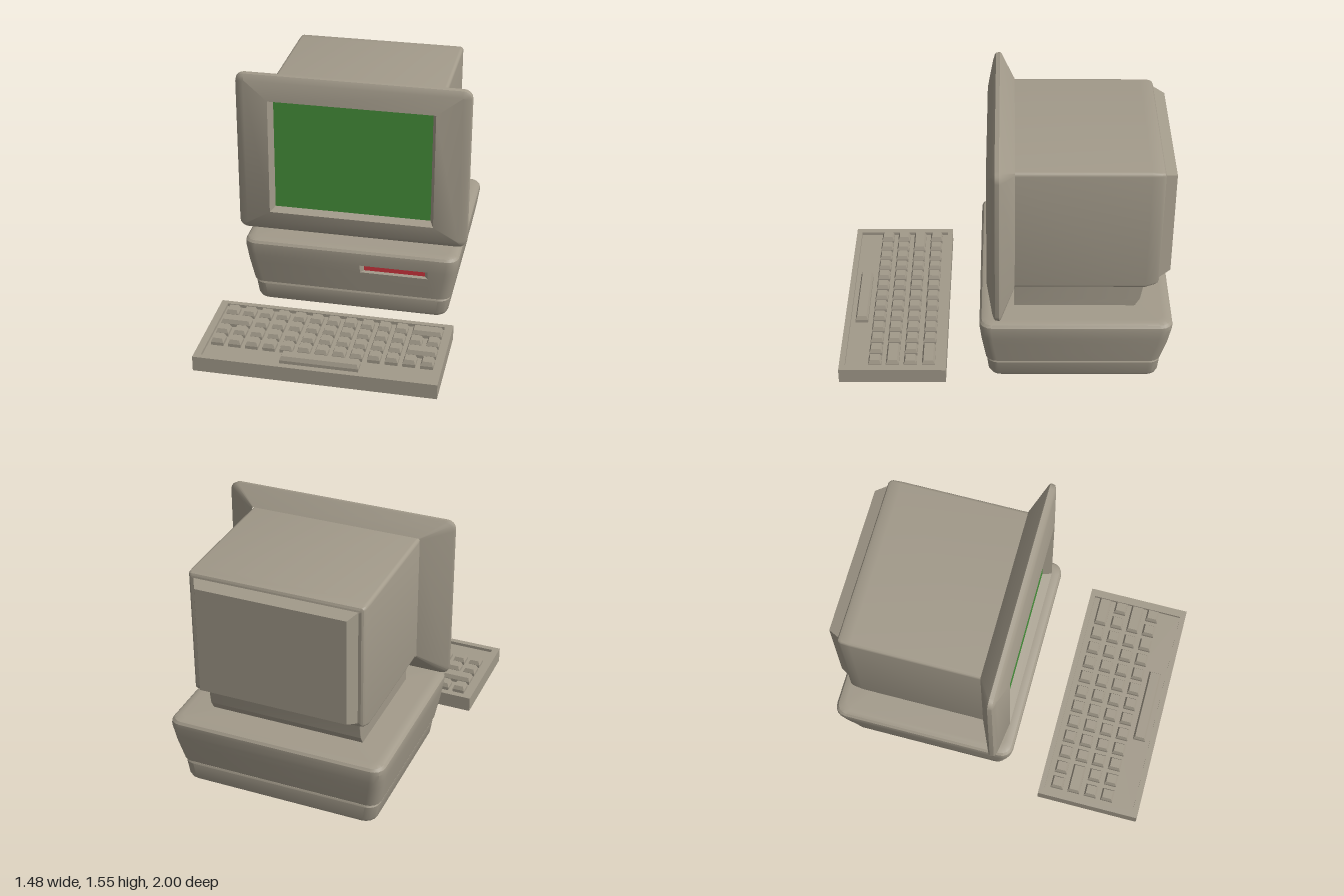
import * as THREE from 'three';
import { toCreasedNormals } from 'three/addons/utils/BufferGeometryUtils.js';

const plastic = new THREE.MeshStandardMaterial({ color: 0xa29a8a });
plastic.name = 'beige plastic';
const green = new THREE.MeshStandardMaterial({ color: 0x46903a });
green.name = 'screen green';
const red = new THREE.MeshStandardMaterial({ color: 0xcf343d });
red.name = 'drive red';

// Rounded rectangle, counter-clockwise, with optional extra points on its first edge
function outline([w, u0, u1, v0, v1, r], splits) {
  const steps = 4, pts = [];
  const corners = [[u0 + r, v0 + r], [u1 - r, v0 + r], [u1 - r, v1 - r], [u0 + r, v1 - r]];
  corners.forEach(([cu, cv], c) => {
    for (let i = 0; i <= steps; i++) {
      const a = Math.PI + (c + i / steps) * Math.PI / 2;
      pts.push(new THREE.Vector3(cu + r * Math.cos(a), cv + r * Math.sin(a), w));
    }
    if (c === 0) splits.forEach(u => pts.push(new THREE.Vector3(u, v0, w)));
  });
  return pts;
}

// Skin through rounded rectangles stacked along z; hole = section whose split panel is left open
function loft(sections, { capStart = true, capEnd = true, splits = [], hole = -1 } = {}) {
  const rings = sections.map(s => outline(s, splits));
  const n = rings[0].length, pos = [];
  const tri = (a, b, c) => {
    const area = b.clone().sub(a).cross(c.clone().sub(a)).length();
    if (area > 1e-9) for (const p of [a, b, c]) pos.push(p.x, p.y, p.z);
  };
  for (let k = 0; k < rings.length - 1; k++) {
    for (let i = 0; i < n; i++) {
      if (k === hole && i === 5) continue;
      const j = (i + 1) % n;
      const a = rings[k][i], b = rings[k][j], c = rings[k + 1][j], d = rings[k + 1][i];
      tri(a, b, c);
      tri(a, c, d);
    }
  }
  const cap = (ring, flip) => {
    const box = new THREE.Box3().setFromPoints(ring), m = box.getCenter(new THREE.Vector3());
    ring.forEach((p, i) => {
      const q = ring[(i + 1) % n];
      flip ? tri(m, q, p) : tri(m, p, q);
    });
  };
  if (capStart) cap(rings[0], true);
  if (capEnd) cap(rings[n ? rings.length - 1 : 0], false);
  const g = new THREE.BufferGeometry();
  g.setAttribute('position', new THREE.Float32BufferAttribute(pos, 3));
  return g;
}

// Sections given as [y, x0, x1, zFront, zBack, radius], stacked upwards
function loftUp(sections, options) {
  const g = loft(sections.map(([y, x0, x1, zf, zb, r]) => [y, x0, x1, -zf, -zb, r]), options);
  return g.rotateX(-Math.PI / 2);
}

export function createModel() {
  const model = new THREE.Group();
  model.name = 'desktopComputer';
  const add = (parent, name, geometry, material = plastic, crease = 0.5) => {
    const mesh = new THREE.Mesh(toCreasedNormals(geometry, crease), material);
    mesh.name = name;
    parent.add(mesh);
    return mesh;
  };

  // System unit: lower foot, groove, flared upper case with an opening for the drive
  const base = new THREE.Group();
  base.name = 'systemUnit';
  model.add(base);
  add(base, 'baseFoot', loftUp([
    [0, -0.43, 0.47, -0.09, -0.76, 0.04],
    [0.018, -0.55, 0.59, 0.07, -0.91, 0.06],
    [0.03, -0.58, 0.62, 0.09, -0.93, 0.07],
    [0.05, -0.59, 0.63, 0.098, -0.935, 0.07],
    [0.14, -0.602, 0.642, 0.107, -0.942, 0.07],
    [0.152, -0.597, 0.637, 0.102, -0.937, 0.07],
  ]));
  add(base, 'baseGroove', loftUp([
    [0.145, -0.59, 0.63, 0.095, -0.93, 0.07],
    [0.17, -0.59, 0.63, 0.095, -0.93, 0.07],
  ]));
  add(base, 'baseCase', loftUp([
    [0.16, -0.61, 0.65, 0.115, -0.945, 0.07],
    [0.31, -0.638, 0.678, 0.1375, -0.98, 0.07],
    [0.36, -0.645, 0.685, 0.1425, -0.988, 0.07],
    [0.42, -0.654, 0.694, 0.149, -0.998, 0.07],
    [0.445, -0.652, 0.692, 0.147, -0.996, 0.07],
    [0.46, -0.64, 0.68, 0.136, -0.985, 0.065],
    [0.468, -0.62, 0.66, 0.117, -0.965, 0.055],
    [0.47, -0.595, 0.635, 0.09, -0.94, 0.04],
  ], { splits: [0.085, 0.51], hole: 1 }));

  // Drive slot: recess walls following the sloping front, with a red back
  const slot = loft([
    [0.14, 0.085, 0.51, 0.31, 0.36, 0],
    [0.11, 0.107, 0.49, 0.312, 0.358, 0],
  ], { capStart: false, capEnd: false });
  const sp = slot.attributes.position;
  for (let i = 0; i < sp.count; i++) {
    if (sp.getZ(i) > 0.13) sp.setZ(i, 0.14 + (sp.getY(i) - 0.335) * 0.1);
  }
  add(base, 'driveSlot', slot);
  add(base, 'driveFace', new THREE.PlaneGeometry(0.383, 0.046).translate(0.2985, 0.335, 0.11), red);

  // Monitor: neck, tube housing, rear panel, flared bezel, screen
  const monitor = new THREE.Group();
  monitor.name = 'monitor';
  model.add(monitor);
  add(monitor, 'monitorNeck', loftUp([
    [0.46, -0.455, 0.5, -0.06, -0.775, 0.005],
    [0.52, -0.455, 0.5, -0.06, -0.81, 0.005],
    [0.66, -0.455, 0.5, -0.06, -0.833, 0.005],
  ]), plastic, 0.3);
  add(monitor, 'monitorHousing', loft([
    [-0.91, -0.492, 0.532, 0.685, 1.428, 0.01],
    [-0.903, -0.503, 0.543, 0.672, 1.44, 0.015],
    [-0.885, -0.512, 0.552, 0.662, 1.447, 0.02],
    [-0.83, -0.515, 0.555, 0.642, 1.45, 0.022],
    [-0.05, -0.515, 0.555, 0.642, 1.45, 0.022],
  ]));
  add(monitor, 'rearPanel', loft([
    [-0.98, -0.435, 0.475, 0.72, 1.39, 0],
    [-0.9, -0.48, 0.52, 0.69, 1.42, 0],
  ]));
  add(monitor, 'screenBezel', loft([
    [-0.06, -0.515, 0.555, 0.642, 1.45, 0.01],
    [0.02, -0.69, 0.725, 0.518, 1.543, 0.05],
    [0.03, -0.7, 0.735, 0.51, 1.552, 0.055],
    [0.055, -0.695, 0.73, 0.514, 1.547, 0.05],
    [0.063, -0.68, 0.715, 0.525, 1.535, 0.035],
    [0.072, -0.645, 0.68, 0.549, 1.51, 0.005],
    [0.105, -0.49, 0.53, 0.655, 1.4, 0],
    [0.05, -0.466, 0.506, 0.673, 1.385, 0],
  ], { capStart: false, capEnd: false }), plastic, 0.4);
  add(monitor, 'screen', new THREE.PlaneGeometry(0.972, 0.712).translate(0.02, 1.029, 0.05), green);

  // Keyboard: slab with a sunken tray
  const keyboard = new THREE.Group();
  keyboard.name = 'keyboard';
  model.add(keyboard);
  add(keyboard, 'keyboardCase', loftUp([
    [0.04, -0.743, 0.708, 1, 0.353, 0],
    [0.135, -0.743, 0.708, 1, 0.353, 0],
    [0.135, -0.7, 0.66, 0.965, 0.385, 0],
    [0.115, -0.7, 0.66, 0.965, 0.385, 0],
  ]));

  // Tapered key caps
  const key = (x0, x1, z) => add(keyboard, 'key', loftUp([
    [0.115, x0, x1, z + 0.039, z - 0.039, 0],
    [0.135, x0, x1, z + 0.039, z - 0.039, 0],
    [0.16, x0 + 0.01, x1 - 0.01, z + 0.029, z - 0.029, 0],
  ], { capStart: false }), plastic, 0.2);
  const column = i => -0.642 + i * 0.105;
  const rows = [
    { z: 0.46, from: 0, to: 10, wide: 11 },
    { z: 0.57, from: 2, to: 12, wide: 0 },
    { z: 0.678, from: 0, to: 10, wide: 11 },
    { z: 0.785, from: 0, to: 12 },
  ];
  for (const { z, from, to, wide } of rows) {
    for (let i = from; i <= to; i++) key(column(i) - 0.038, column(i) + 0.038, z);
    if (wide !== undefined) key(column(wide) - 0.038, column(wide + 1) + 0.038, z);
  }
  key(-0.235, 0.235, 0.895).name = 'spaceBar';

  return model;
}
